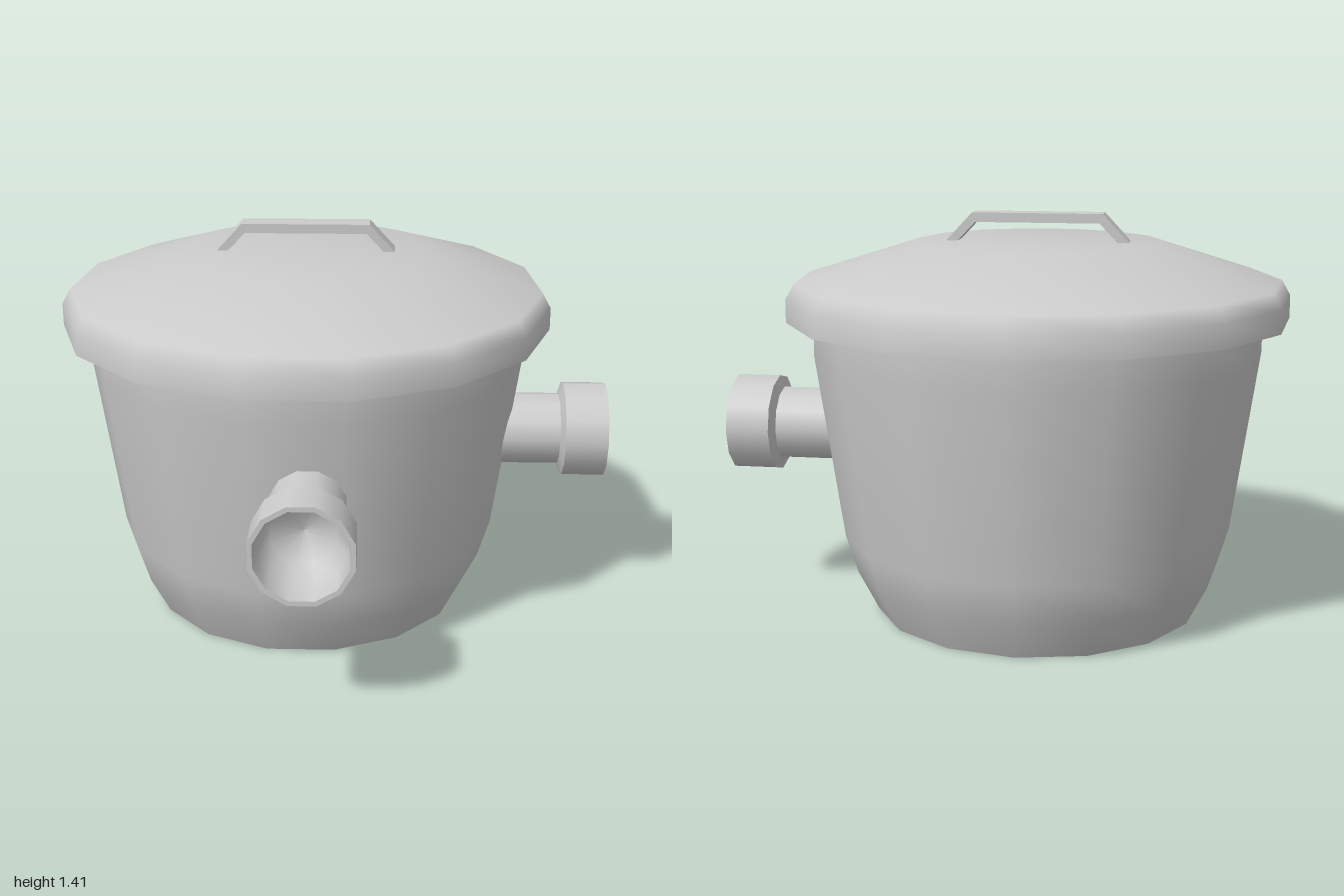
import * as THREE from 'three';

const CX = -0.115, CZ = -0.12; // axis of the vessel
const grey = new THREE.MeshStandardMaterial({ color: 0xcccccc, side: THREE.DoubleSide });

// One lathe per smooth run of the profile; edges between runs stay sharp
function turned(name, runs, sides, phiStart) {
  const group = new THREE.Group();
  group.name = name;
  runs.forEach((run, i) => {
    const points = run.map(([r, y]) => new THREE.Vector2(r, y));
    const mesh = new THREE.Mesh(new THREE.LatheGeometry(points, sides, phiStart), grey);
    mesh.name = `${name}Surface${i + 1}`;
    group.add(mesh);
  });
  return group;
}

// Pipe stub with a wider hollow socket; y = 0 is the mouth
function pipe(name, phiStart) {
  return turned(name, [
    [[0.132, -0.6], [0.132, -0.17]],
    [[0.132, -0.17], [0.174, -0.155]],
    [[0.174, -0.155], [0.174, 0]],
    [[0.174, 0], [0.157, 0]],
    [[0.157, 0], [0.15, -0.1], [0.11, -0.17], [0, -0.2]],
  ], 12, phiStart);
}

export function createModel() {
  const model = new THREE.Group();
  model.name = 'liddedTank';

  // Tapered body with closed base
  const body = turned('body', [
    [[0, 0], [0.578, 0]],
    [[0.578, 0], [0.65, 0.14], [0.693, 0.28], [0.787, 0.93], [0.787, 1.06]],
  ], 15, Math.PI);
  body.position.set(CX, 0, CZ);

  // Overhanging lid
  const lid = turned('lid', [
    [[0, 1.05], [0.88, 1.05]],
    [[0.88, 1.05], [0.88, 1.13], [0.85, 1.183], [0.43, 1.317], [0, 1.317]],
  ], 15, Math.PI);
  lid.position.set(CX, 0, CZ);

  // Bent strap handle
  const outline = [
    [-0.325, 1.31], [-0.285, 1.31], [-0.217, 1.382], [0.217, 1.382],
    [0.285, 1.31], [0.325, 1.31], [0.228, 1.415], [-0.228, 1.415],
  ].map(([x, y]) => new THREE.Vector2(x, y));
  const handle = new THREE.Mesh(
    new THREE.ExtrudeGeometry(new THREE.Shape(outline), { depth: 0.085, bevelEnabled: false }), grey);
  handle.name = 'handle';
  handle.position.set(CX, 0, CZ - 0.0425);

  // Pipes at the front and the left
  const frontPipe = pipe('frontPipe', Math.PI / 12);
  frontPipe.rotation.x = Math.PI / 2;
  frontPipe.position.set(-0.077, 0.637, 1);

  const leftPipe = pipe('leftPipe', 0);
  leftPipe.rotation.z = -Math.PI / 2;
  leftPipe.position.set(0.987, 0.637, -0.12);

  model.add(body, lid, handle, frontPipe, leftPipe);
  return model;
}
